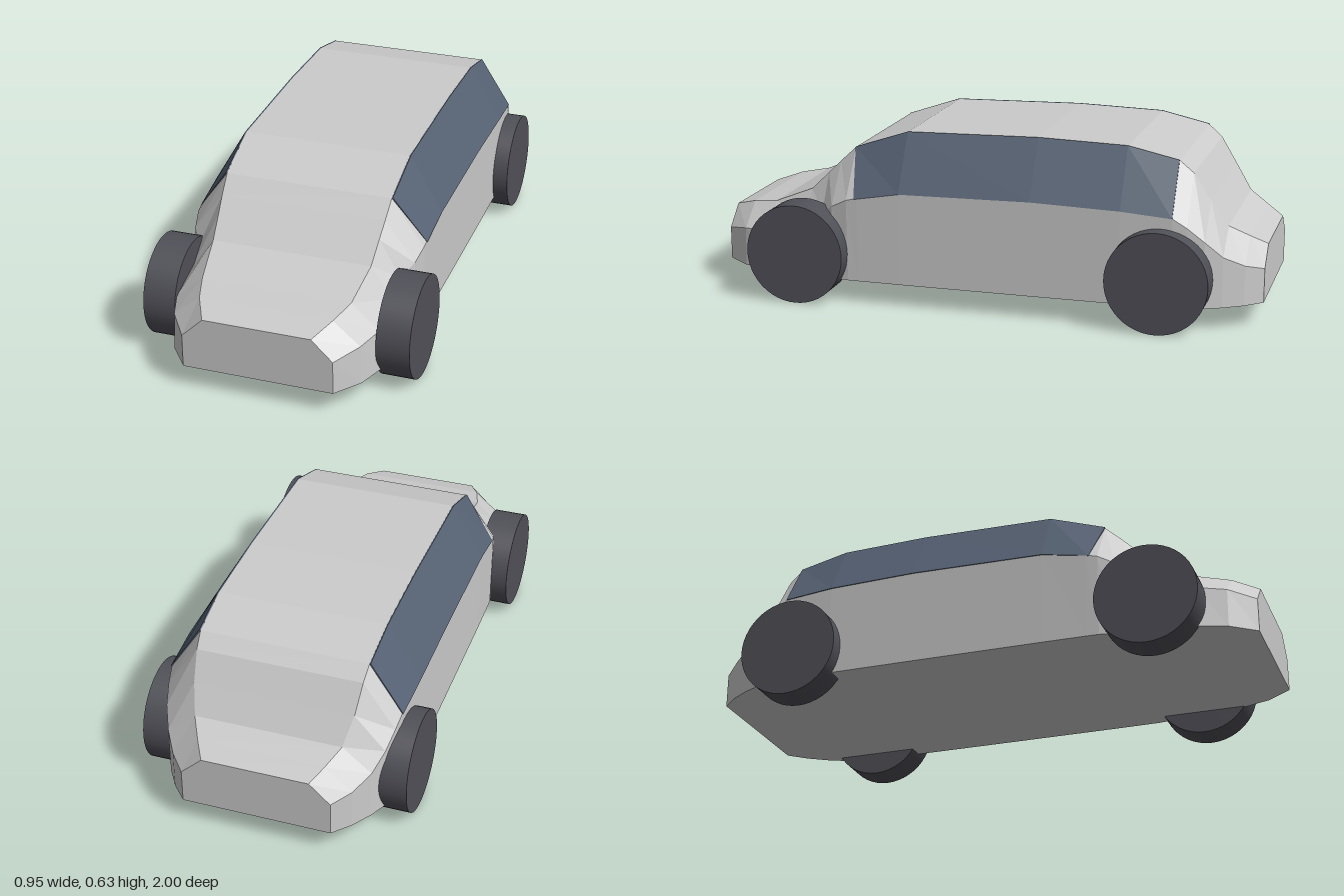
import * as THREE from 'three';

const bodyMat = new THREE.MeshStandardMaterial({ color: 0xcccccc, flatShading: true });
const glassMat = new THREE.MeshStandardMaterial({ color: 0x566274, flatShading: true, side: THREE.DoubleSide });
const tyreMat = new THREE.MeshStandardMaterial({ color: 0x505058 });

const FLOOR = 0.082;

// Body sections from nose to tail: z, floor x, shoulder x, shoulder y, top x, top y
const sections = [
  [1.0, 0.265, 0.265, 0.202, 0.19, 0.275],
  [0.91, 0.335, 0.33, 0.222, 0.235, 0.303],
  [0.81, 0.37, 0.363, 0.23, 0.265, 0.318],
  [0.66, 0.37, 0.363, 0.27, 0.285, 0.38],
  [0.59, 0.375, 0.368, 0.315, 0.291, 0.447],
  [0.54, 0.405, 0.403, 0.35, 0.296, 0.495],
  [0.48, 0.415, 0.416, 0.38, 0.3, 0.55],
  [0.44, 0.416, 0.418, 0.39, 0.301, 0.565],
  [0.28, 0.418, 0.42, 0.417, 0.303, 0.618],
  [-0.2, 0.42, 0.422, 0.424, 0.303, 0.627],
  [-0.52, 0.42, 0.422, 0.415, 0.303, 0.618],
  [-0.7, 0.415, 0.416, 0.4, 0.3, 0.578],
  [-0.75, 0.408, 0.408, 0.368, 0.295, 0.535],
  [-0.81, 0.393, 0.393, 0.318, 0.285, 0.44],
  [-0.87, 0.365, 0.365, 0.262, 0.262, 0.348],
  [-0.94, 0.32, 0.32, 0.225, 0.225, 0.308],
  [-1.0, 0.265, 0.265, 0.205, 0.19, 0.275],
];

// Skins a run of equal rings (anticlockwise seen from +z, front to back) and caps both ends
function loft(rings) {
  const n = rings[0].length;
  const last = (rings.length - 1) * n;
  const index = [];
  for (let i = 0; i < rings.length - 1; i++) {
    for (let j = 0; j < n; j++) {
      const k = (j + 1) % n;
      const a = i * n + j, b = i * n + k, c = b + n, d = a + n;
      index.push(a, d, b, b, d, c);
    }
  }
  for (let j = 1; j < n - 1; j++) {
    index.push(0, j, j + 1, last, last + j + 1, last + j);
  }
  const geo = new THREE.BufferGeometry();
  geo.setAttribute('position', new THREE.Float32BufferAttribute(rings.flat(2), 3));
  geo.setIndex(index);
  const flat = geo.toNonIndexed();
  flat.computeVertexNormals();
  return flat;
}

function addMesh(parent, name, geometry, material) {
  const mesh = new THREE.Mesh(geometry, material);
  mesh.name = name;
  parent.add(mesh);
  return mesh;
}

export function createModel() {
  const car = new THREE.Group();
  car.name = 'car';

  // Body shell
  const hull = sections.map(([z, bx, sx, sy, tx, ty]) => [
    [-bx, FLOOR, z], [bx, FLOOR, z], [sx, sy, z],
    [tx, ty, z], [-tx, ty, z], [-sx, sy, z],
  ]);
  addMesh(car, 'body', loft(hull), bodyMat);

  // Side windows: thin panes over the shoulder-to-roof band, raked at the front
  const cabin = sections.filter(([z]) => z < 0.5 && z > -0.71 && z !== 0.44);
  for (const side of [1, -1]) {
    const panes = cabin.map(([z, , sx, sy, tx, ty], i) => {
      const zs = i === 0 ? z - 0.03 : z;
      const ys = i === 0 ? sy + 0.006 : sy;
      const ring = [
        [side * (sx - 0.006), ys, zs], [side * (sx + 0.004), ys, zs],
        [side * (tx + 0.004), ty + 0.002, z], [side * (tx - 0.006), ty - 0.004, z],
      ];
      return side > 0 ? ring : ring.reverse();
    });
    addMesh(car, side > 0 ? 'leftWindow' : 'rightWindow', loft(panes), glassMat);
  }

  // Wheels
  const wheelGeo = new THREE.CylinderGeometry(0.181, 0.181, 0.117, 48).rotateZ(Math.PI / 2);
  for (const [end, z] of [['front', 0.66], ['rear', -0.658]]) {
    for (const [name, side] of [['Left', 1], ['Right', -1]]) {
      addMesh(car, `${end}${name}Wheel`, wheelGeo, tyreMat).position.set(side * 0.418, 0.181, z);
    }
  }

  return car;
}
